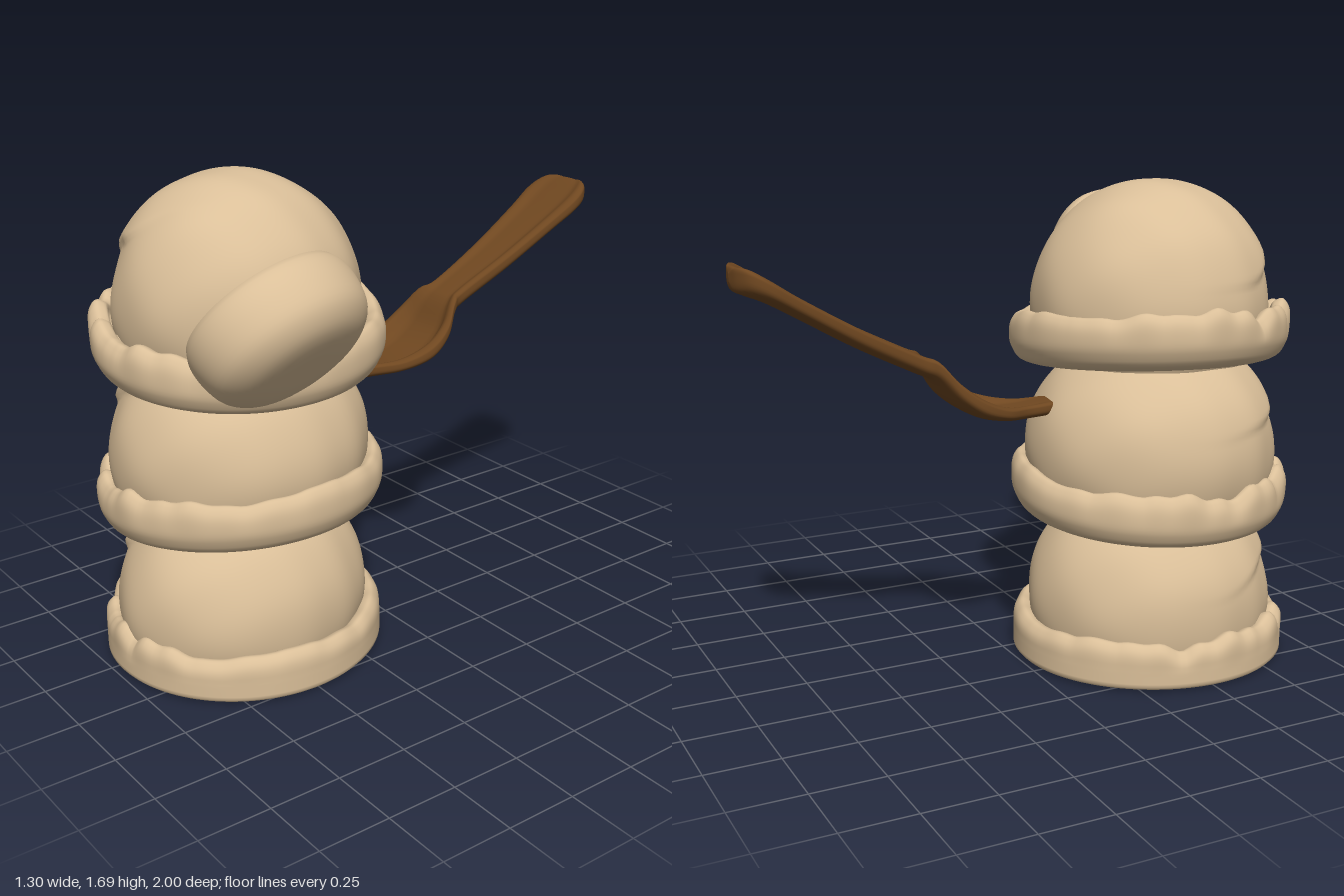
import * as THREE from 'three';

const cream = new THREE.MeshStandardMaterial({ color: 0xdabf99 });
cream.name = 'cream';
const brown = new THREE.MeshStandardMaterial({ color: 0x6f4720 });
brown.name = 'brown';

const { smoothstep, lerp } = THREE.MathUtils;

// Surface closed around u, running along v; fn(angle, v) returns [x, y, z]
function loopSurface(nu, nv, fn) {
  const pos = [], idx = [];
  for (let j = 0; j <= nv; j++)
    for (let i = 0; i < nu; i++) pos.push(...fn((i / nu) * Math.PI * 2, j / nv));
  for (let j = 0; j < nv; j++)
    for (let i = 0; i < nu; i++) {
      const a = j * nu + i, b = j * nu + ((i + 1) % nu), c = a + nu, d = b + nu;
      idx.push(a, c, b, b, c, d);
    }
  const g = new THREE.BufferGeometry();
  g.setAttribute('position', new THREE.Float32BufferAttribute(pos, 3));
  g.setIndex(idx);
  g.computeVertexNormals();
  return g;
}

function addMesh(parent, name, geometry, material) {
  const m = new THREE.Mesh(geometry, material);
  m.name = name;
  parent.add(m);
  return m;
}

// Gentle unevenness of the ice cream
const bumps = (x, y, z, s) =>
  0.005 * Math.sin(9 * x + s) * Math.sin(8 * y + 2 * s) + 0.004 * Math.sin(13 * z + 7 * x + s);

// Dome with a scraped step on its front right
function dome({ x, y, z, rx, rz, h, seed }) {
  return loopSurface(96, 56, (a, v) => {
    const lat = lerp(-0.45, Math.PI / 2, v);
    const dx = Math.cos(lat) * Math.cos(a), dy = Math.sin(lat), dz = Math.cos(lat) * Math.sin(a);
    const line = dy - 0.68 - 0.5 * dx + 0.03 * Math.sin(dx * 11 + seed);
    const near = Math.exp(-3 * ((dx + 0.5) ** 2 + (dy - 0.35) ** 2 + (dz - 0.8) ** 2));
    const k = 1 + bumps(dx, dy, dz, seed) - 0.05 * near * smoothstep(-line, -0.04, 0.03);
    return [x + rx * dx * k, y + h * dy * k, z + rz * dz * k];
  });
}

// Rolled, ruffled skirt under each dome: a puck with a lip
const lip = new THREE.CatmullRomCurve3(
  [[0, -1], [0.4, -1], [0.76, -1], [0.9, -0.84], [0.98, -0.35], [1, 0.2], [0.98, 0.75],
    [0.93, 1], [0.87, 0.85], [0.83, 0.4], [0.6, 0.2]].map(([r, y]) => new THREE.Vector3(r, y, 0)));

function skirt({ x, y, z, rx, rz, h, tiltX, tiltZ, seed, flat }) {
  return loopSurface(160, 44, (a, v) => {
    const p = lip.getPoint(v);
    let r = p.x, py = p.y;
    if (flat && py < 0) {
      py = Math.max(-1, py * 1.15);
      if (r > 0.7) r = Math.min(1, 0.7 + (r - 0.7) * 1.25);
    }
    const ruffle = 0.2 + 0.8 * smoothstep(Math.cos(a - 2.3), -0.2, 0.7);
    const fold = Math.abs(Math.sin(6.5 * a + seed + 0.8 * Math.sin(3 * a))) - 0.6;
    const fine = Math.sin(23 * a + 3 * seed) * 0.3;
    const up = smoothstep(py, -0.3, 0.9);
    const k = r * (1 + r * r * (0.02 * ruffle * (fold + fine) * up + 0.008 * Math.sin(3 * a + seed)));
    const cx = Math.cos(a), cz = Math.sin(a);
    const lift = up * ruffle * 0.03 * (fold + fine) + up * 0.008 * Math.sin(5 * a + seed);
    const yy = y + h * py + lift + r * (tiltX * cx + tiltZ * cz);
    return [x + rx * k * cx, Math.max(0, yy), z + rz * k * cz];
  });
}

const scoops = [
  {
    name: 'bottomScoop',
    dome: { x: -0.18, y: 0.21, z: 0.51, rx: 0.42, rz: 0.45, h: 0.42, seed: 1 },
    skirt: { x: -0.175, y: 0.08, z: 0.5, rx: 0.475, rz: 0.49, h: 0.08, tiltX: 0, tiltZ: 0, seed: 0.5, flat: true },
  },
  {
    name: 'middleScoop',
    dome: { x: -0.175, y: 0.76, z: 0.505, rx: 0.435, rz: 0.455, h: 0.41, seed: 2.4 },
    skirt: { x: -0.168, y: 0.605, z: 0.495, rx: 0.475, rz: 0.495, h: 0.095, tiltX: 0.03, tiltZ: -0.01, seed: 2 },
  },
  {
    name: 'topScoop',
    dome: { x: -0.18, y: 1.27, z: 0.49, rx: 0.405, rz: 0.425, h: 0.42, seed: 4 },
    skirt: { x: -0.155, y: 1.145, z: 0.495, rx: 0.475, rz: 0.495, h: 0.095, tiltX: -0.05, tiltZ: -0.015, seed: 3.4 },
  },
];

// Fruit slice: flat face with a seed star, rounded back
function slice() {
  const side = new THREE.CatmullRomCurve3(
    [[0, 0.24], [0.13, 0.235], [0.2, 0.215], [0.25, 0.17], [0.27, 0.1], [0.27, 0.04], [0.26, 0.01]]
      .map(([r, d]) => new THREE.Vector3(r, -d, 0)));
  return loopSurface(128, 48, (a, v) => {
    let r, y;
    if (v < 0.5) ({ x: r, y } = side.getPoint(v * 2));
    else {
      r = 0.26 * (1 - (v - 0.5) * 2) * 0.98;
      const ring = smoothstep(r, 0.01, 0.04) * (1 - smoothstep(r, 0.07, 0.1 + 0.02 * Math.sin(5 * a)));
      y = 0.012 * ring * Math.cos(14 * a + Math.sin(3 * a));
    }
    return [r * Math.cos(a) * 0.96, y, r * Math.sin(a) * 1.05];
  });
}

// Spoon sections from tip to handle end: z, bottom, top, half width, hollow depth
const spoonSections = [
  [0.14, 0.92, 0.93, 0, 0], [0.12, 0.9, 0.95, 0.055, 0], [0, 0.895, 0.95, 0.075, 0.012],
  [-0.1, 0.905, 0.965, 0.13, 0.03], [-0.2, 0.93, 1.01, 0.16, 0.05], [-0.28, 0.985, 1.07, 0.148, 0.05],
  [-0.34, 1.06, 1.14, 0.11, 0.03], [-0.4, 1.09, 1.165, 0.088, 0.015], [-0.6, 1.19, 1.265, 0.103, 0.018],
  [-0.8, 1.305, 1.38, 0.124, 0.02], [-0.9, 1.36, 1.445, 0.135, 0.02], [-0.96, 1.385, 1.48, 0.112, 0.015],
  [-0.99, 1.4, 1.48, 0.06, 0.005], [-1, 1.43, 1.455, 0, 0],
];

function spoon() {
  const curve = (f) => new THREE.CatmullRomCurve3(
    spoonSections.map((s) => new THREE.Vector3(...f(s))), false, 'catmullrom');
  const heights = curve(([z, b, t]) => [b, t, z]);
  const widths = curve(([z, , , w, d]) => [w, d, z]);
  return loopSurface(48, 78, (a, v) => {
    const { x: bottom, y: top, z } = heights.getPoint(v);
    const { x: w, y: dip } = widths.getPoint(v);
    const c = Math.cos(a), s = Math.sin(a), mid = lerp(bottom, top, 0.55);
    const across = Math.sign(c) * Math.abs(c) ** 0.75;
    const y = s > 0
      ? mid + (top - mid) * s ** 0.4 - dip * (1 - smoothstep(Math.abs(across), 0.5, 0.82))
      : mid - (mid - bottom) * (-s) ** 0.85;
    return [-0.138 + Math.max(0, w) * across, y, Math.max(-1, z)];
  });
}

export function createModel() {
  const model = new THREE.Group();
  model.name = 'iceCreamStack';

  for (const s of scoops) {
    const g = new THREE.Group();
    g.name = s.name;
    addMesh(g, 'dome', dome(s.dome), cream);
    addMesh(g, 'skirt', skirt(s.skirt), cream);
    model.add(g);
  }

  // Slice leaning on the top scoop, its face tilted up toward the stack
  const fruit = addMesh(model, 'fruitSlice', slice(), cream);
  const n = new THREE.Vector3(-0.75, 0.62, 0.15).normalize();
  const across = new THREE.Vector3(0.62, 0.75, 0).normalize();
  const depth = new THREE.Vector3().crossVectors(across, n).normalize();
  fruit.matrix.makeBasis(across, n, depth).setPosition(0.355, 1.4, 0.725);
  fruit.matrix.decompose(fruit.position, fruit.quaternion, fruit.scale);

  addMesh(model, 'spoon', spoon(), brown);
  return model;
}
